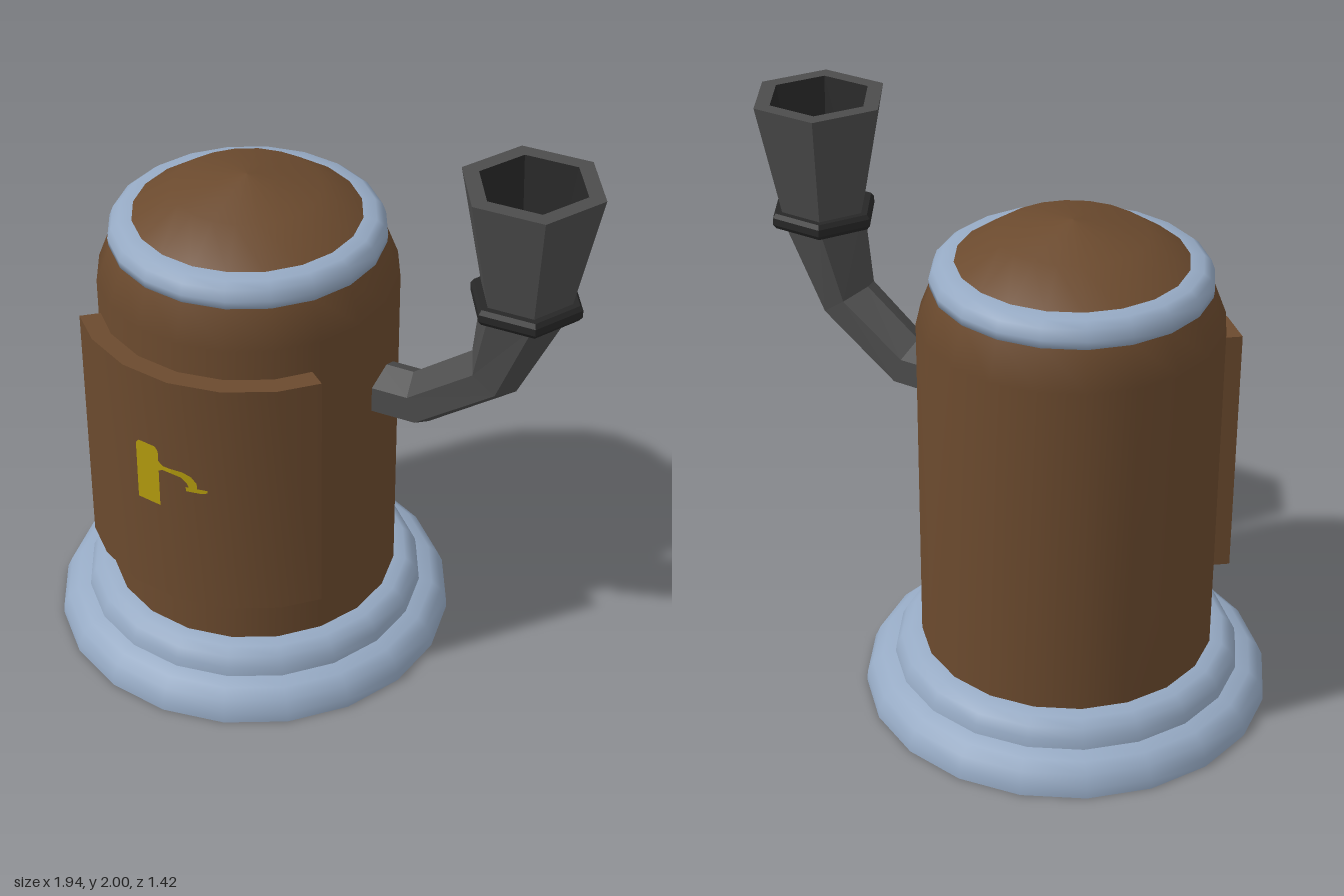
import * as THREE from 'three';
import { toCreasedNormals } from 'three/addons/utils/BufferGeometryUtils.js';

const material = (name, color, extra = {}) => {
  const m = new THREE.MeshStandardMaterial({ color, ...extra });
  m.name = name;
  return m;
};

export function createModel() {
  const group = new THREE.Group();
  const brown = material('copper brown', 0x6b4a2e, { side: THREE.DoubleSide });
  const steel = material('blue grey trim', 0x96aac4, { side: THREE.DoubleSide });
  const iron = material('iron grey', 0x4c4c4c, { flatShading: true, side: THREE.DoubleSide });
  const black = material('dark iron', 0x272727, { flatShading: true });
  const yellow = material('tap yellow', 0xb39b0e, { side: THREE.DoubleSide });

  const add = (name, geometry, mat, x) => {
    const mesh = new THREE.Mesh(geometry, mat);
    mesh.name = name;
    mesh.position.x = x;
    group.add(mesh);
    return mesh;
  };
  const lathe = (points, sides = 20, start = 0) =>
    new THREE.LatheGeometry(points.map(([r, y]) => new THREE.Vector2(r, y)), sides, start);

  // Tank, standing to the right of the pipe
  const tankX = -0.26;
  add('tankBody', lathe([[0.512, 0.12], [0.512, 1.43], [0.46, 1.565]]), brown, tankX);
  add('dome', lathe([[0.4, 1.64], [0.25, 1.74], [0, 1.787]]), brown, tankX);
  add('topRing', lathe([[0.44, 1.555], [0.465, 1.562], [0.468, 1.59], [0.455, 1.625],
    [0.43, 1.645], [0.385, 1.65]]), steel, tankX);
  add('lowerBaseRing', lathe([[0.712, 0], [0.71, 0.035], [0.69, 0.08], [0.655, 0.11],
    [0.595, 0.125]]), steel, tankX);
  add('upperBaseRing', lathe([[0.608, 0.12], [0.603, 0.155], [0.585, 0.19], [0.555, 0.213],
    [0.505, 0.22]]), steel, tankX);

  // Curved door panel: a thick arc that passes through the tank wall
  const doorRadius = 0.58;
  const angles = [-50.6, -36, -18, 0, 18, 36, 50.6].map(THREE.MathUtils.degToRad);
  const arc = (r) => angles.map((a) => new THREE.Vector2(r * Math.sin(a), -r * Math.cos(a)));
  const doorShape = new THREE.Shape([...arc(doorRadius), ...arc(0.46).reverse()]);
  const door = new THREE.ExtrudeGeometry(doorShape, { depth: 0.91, bevelEnabled: false });
  door.rotateX(-Math.PI / 2);
  door.translate(0, 0.41, 0);
  add('doorPanel', toCreasedNormals(door, 0.45), brown, tankX);

  // Painted tap: flat shapes laid on the two front facets of the door
  const tapParts = {
    tapHandle: [[-0.14, 0.8], [-0.05, 0.8], [-0.05, 1.025], [-0.062, 1.04], [-0.128, 1.04], [-0.14, 1.025]],
    tapNeck: [[-0.05, 0.945], [-0.035, 0.955], [0, 0.956], [0, 0.974], [-0.03, 0.972], [-0.05, 0.985]],
    tapSpout: [[0, 0.956], [0.035, 0.946], [0.053, 0.928], [0.062, 0.908], [0.09, 0.908],
      [0.088, 0.932], [0.07, 0.955], [0.04, 0.969], [0, 0.974]],
    tapFoot: [[0.05, 0.893], [0.105, 0.893], [0.125, 0.9], [0.125, 0.91], [0.05, 0.91]],
  };
  const facetSlope = Math.tan(Math.PI / 20);
  for (const [name, points] of Object.entries(tapParts)) {
    const geometry = new THREE.ShapeGeometry(new THREE.Shape(points.map(([x, y]) => new THREE.Vector2(x, y))));
    const pos = geometry.attributes.position;
    for (let i = 0; i < pos.count; i++) {
      pos.setZ(i, doorRadius + 0.003 - Math.abs(pos.getX(i)) * facetSlope);
    }
    geometry.computeVertexNormals();
    add(name, geometry, yellow, tankX);
  }

  // Bent six-sided pipe: centre, in-plane half axis, half axis along z
  const sections = [
    { c: [0.225, 1.088], e: [0, 0.093], z: 0.1 },
    { c: [0.38, 1.088], e: [-0.03, 0.0925], z: 0.1 },
    { c: [0.635, 1.272], e: [-0.08, 0.0575], z: 0.108 },
    { c: [0.73, 1.57], e: [-0.152, 0], z: 0.152 },
  ];
  const positions = [], indices = [];
  sections.forEach(({ c, e, z }, j) => {
    for (let i = 0; i < 6; i++) {
      const a = (i * Math.PI) / 3;
      positions.push(c[0] + e[0] * Math.cos(a), c[1] + e[1] * Math.cos(a), z * Math.sin(a));
      if (j === 0) continue;
      const n = (i + 1) % 6, p = (j - 1) * 6, q = j * 6;
      indices.push(p + i, p + n, q + n, p + i, q + n, q + i);
    }
  });
  const pipe = new THREE.BufferGeometry();
  pipe.setAttribute('position', new THREE.Float32BufferAttribute(positions, 3));
  pipe.setIndex(indices);
  pipe.computeVertexNormals();
  add('pipe', pipe, iron, 0);

  // Collar and funnel, with a corner pointing along x
  const hex = (points) => lathe(points, 6, Math.PI / 2);
  const funnelX = 0.729;
  add('collar', hex([[0.14, 1.55], [0.18, 1.55], [0.191, 1.565], [0.191, 1.59], [0.18, 1.605],
    [0.14, 1.605]]), black, funnelX);
  add('funnel', hex([[0.155, 1.6], [0.238, 2], [0.18, 2]]), iron, funnelX);
  add('funnelInside', hex([[0.18, 2], [0.115, 1.65], [0, 1.65]]), black, funnelX);

  return group;
}
